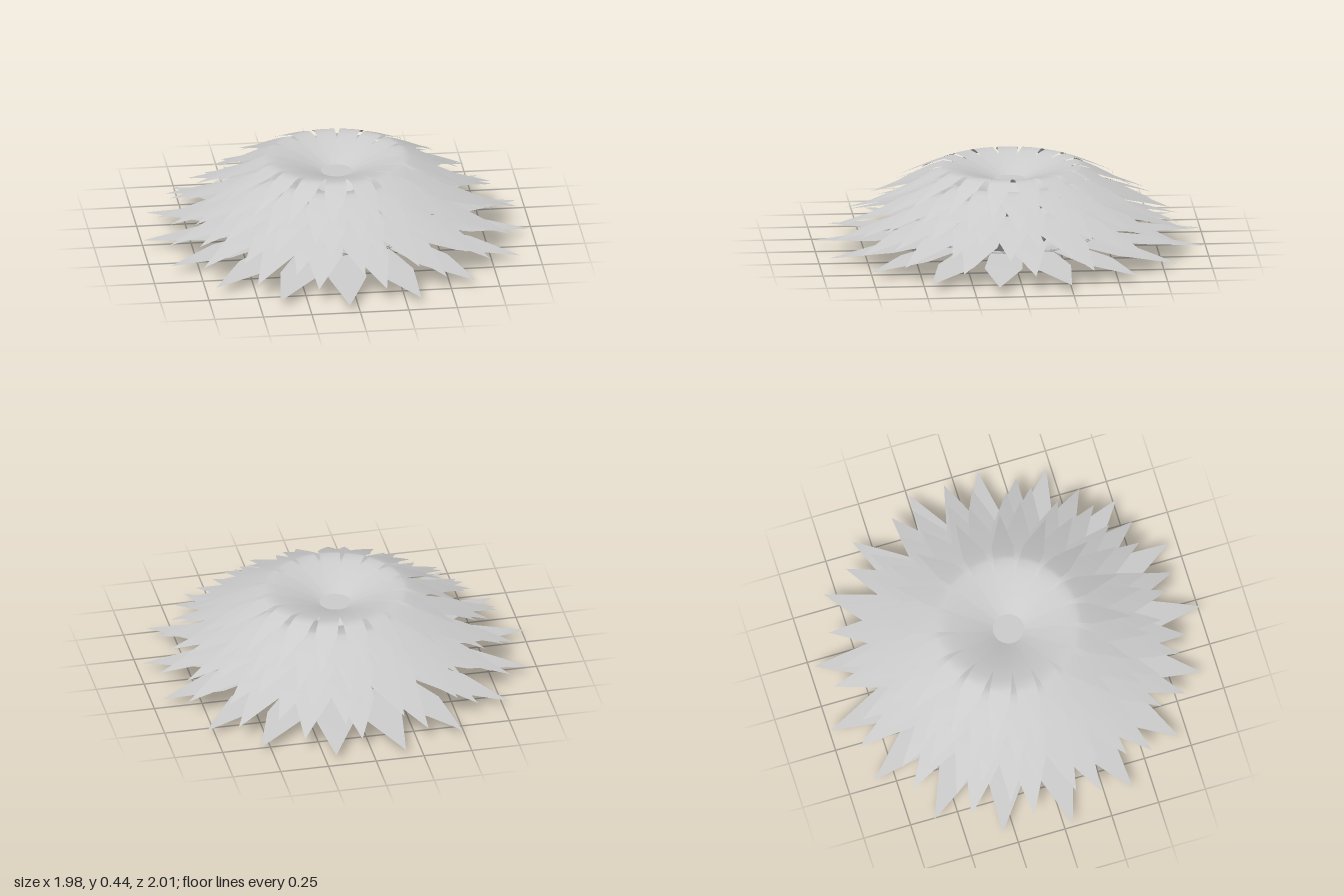
import * as THREE from 'three';

const PETALS = 17;
const STEP = (Math.PI * 2) / PETALS;
const SHOULDER = 0.45; // where a petal is widest, between notch and tip

// small seeded generator for the uneven petals
function seeded(seed) {
  let s = seed;
  return () => (s = (s * 16807) % 2147483647) / 2147483647;
}

// n radii from a up to (not including) b
const spread = (a, b, n) => Array.from({ length: n }, (_, i) => a + ((b - a) * i) / n);

// one ring of petals: shared funnel in the middle, pointed drooping tips outside
function petalRing({ r0, y0, notch, rim, peak, tip, tipY, turn }, rand) {
  const pos = [], index = [];
  for (let p = 0; p < PETALS; p++) {
    const mid = turn + p * STEP;
    const lean = (rand() - 0.5) * 0.05;
    const length = tip * (1 - rand() * 0.03);
    const shoulder = notch + (length - notch) * SHOULDER;
    const radii = [...spread(r0, notch, 5), ...spread(notch, rim, 2), ...spread(rim, shoulder, 3),
      ...spread(shoulder, length, 4), length];
    const start = pos.length / 3;
    for (const r of radii) {
      const out = Math.max(0, (r - rim) / (length - rim));
      const y = r < rim
        ? y0 + (peak - y0) * (1 - Math.pow(1 - (r - r0) / (rim - r0), 1.4))
        : peak + (tipY - peak) * Math.pow(out, 1.15);
      // full arc up to the notch, slightly wider to the shoulder, then straight to the point
      const k = Math.max(0, (r - notch) / (length - notch));
      const swell = 1 + 0.18 * Math.min(1, k / SHOULDER);
      const taper = Math.min(1, (1 - k) / (1 - SHOULDER));
      const width = k > 0 ? (notch * swell * taper) / r : 1;
      for (let j = -1; j <= 1; j++) {
        const a = mid + lean * out + j * width * STEP * 0.5;
        pos.push(Math.sin(a) * r, y, Math.cos(a) * r);
      }
    }
    for (let i = 0; i < radii.length - 1; i++) {
      for (let j = 0; j < 2; j++) {
        const a = start + i * 3 + j, b = a + 3;
        index.push(a, b, a + 1, b, b + 1, a + 1);
      }
    }
  }
  const geo = new THREE.BufferGeometry();
  geo.setAttribute('position', new THREE.Float32BufferAttribute(pos, 3));
  geo.setIndex(index);
  geo.computeVertexNormals();
  return geo;
}

export function createModel() {
  const group = new THREE.Group();
  const material = new THREE.MeshStandardMaterial({ color: 0xcccccc, side: THREE.DoubleSide });
  const rand = seeded(77);

  // rings from the bottom up
  const rings = [
    { r0: 0.16, y0: 0.0, notch: 0.45, rim: 0.42, peak: 0.085, tip: 1.015, tipY: 0.045, turn: -0.03 },
    { r0: 0.145, y0: 0.015, notch: 0.43, rim: 0.45, peak: 0.215, tip: 0.94, tipY: 0.09, turn: 0.15 },
    { r0: 0.13, y0: 0.1, notch: 0.4, rim: 0.43, peak: 0.275, tip: 0.88, tipY: 0.15, turn: 0.02 },
    { r0: 0.12, y0: 0.19, notch: 0.36, rim: 0.41, peak: 0.335, tip: 0.81, tipY: 0.205, turn: 0.2 },
    { r0: 0.1, y0: 0.28, notch: 0.32, rim: 0.38, peak: 0.39, tip: 0.74, tipY: 0.26, turn: 0.07 },
    { r0: 0.08, y0: 0.365, notch: 0.26, rim: 0.35, peak: 0.445, tip: 0.65, tipY: 0.31, turn: 0.24 },
  ];
  rings.forEach((ring, i) => {
    const petals = new THREE.Mesh(petalRing(ring, rand), material);
    petals.name = `petalRing${i + 1}`;
    group.add(petals);
    // flat floor of the lowest closed funnel and of the top one
    if (i === 1 || i === rings.length - 1) {
      const floor = new THREE.Mesh(new THREE.CircleGeometry(ring.r0, 32).rotateX(-Math.PI / 2), material);
      floor.position.y = ring.y0;
      floor.name = i === 1 ? 'flowerBase' : 'flowerCentre';
      group.add(floor);
    }
  });
  return group;
}
